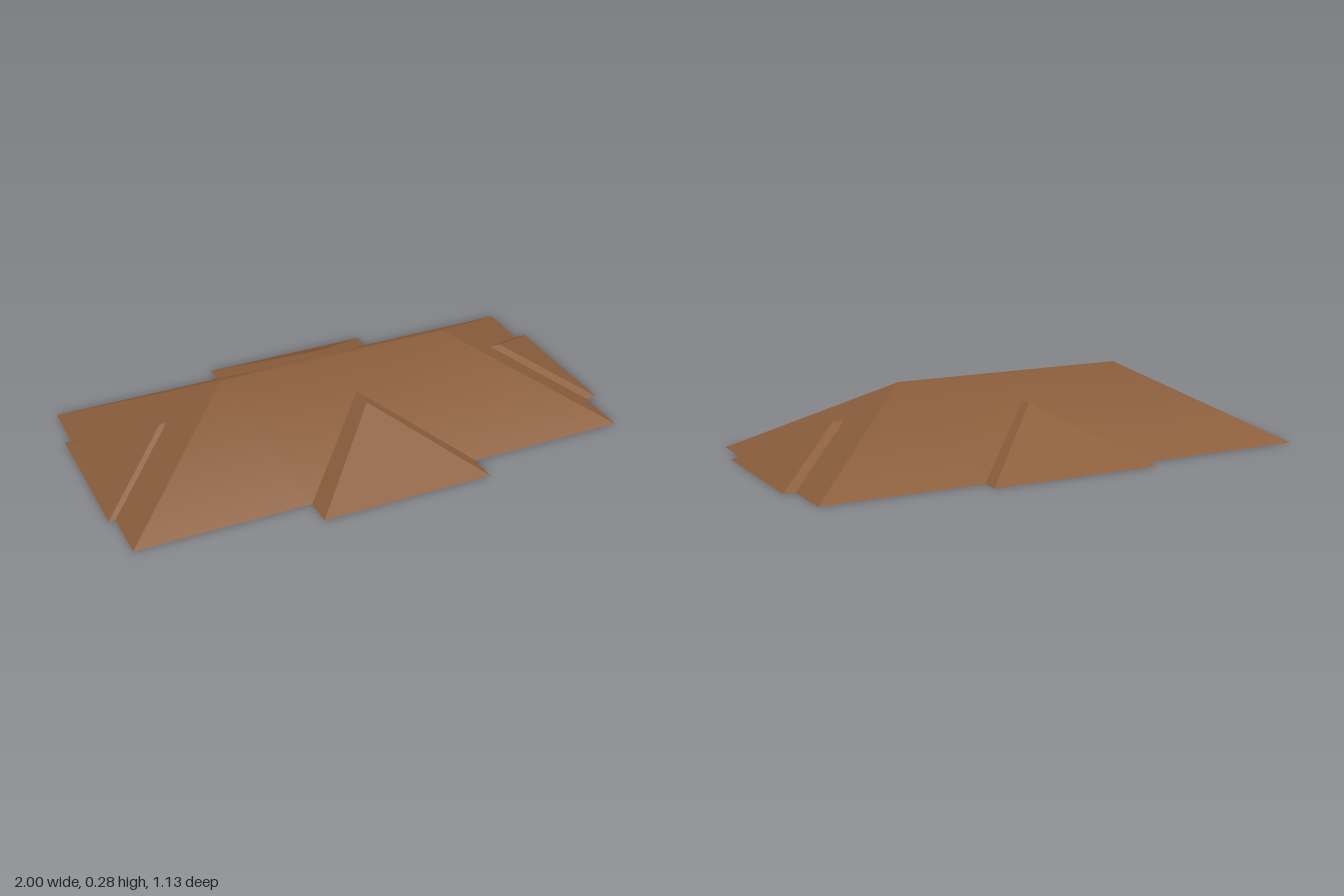
import * as THREE from 'three';

const H = 0.285;                                  // main ridge height
const X0 = -0.975, X1 = 0.955, Z0 = -0.497, Z1 = 0.456; // main eaves
const RX0 = -0.47, RX1 = 0.45, RZ = -0.018;       // main ridge

// One roof plane from an outline seen from above; smoothRidge bends normals upright towards the ridge
function roofPlane(name, points, material, smoothRidge = false) {
  const flat = points.map(p => new THREE.Vector2(p[0], -p[2]));
  const index = [];
  for (const [a, b, c] of THREE.ShapeUtils.triangulateShape(flat, [])) {
    const turn = flat[b].clone().sub(flat[a]).cross(flat[c].clone().sub(flat[a]));
    index.push(...(turn > 0 ? [a, b, c] : [a, c, b]));
  }
  const geometry = new THREE.BufferGeometry();
  geometry.setAttribute('position', new THREE.Float32BufferAttribute(points.flat(), 3));
  geometry.setIndex(index);
  geometry.computeVertexNormals();
  if (smoothRidge) {
    const normals = geometry.attributes.normal;
    const n = new THREE.Vector3(), up = new THREE.Vector3(0, 1, 0);
    points.forEach((p, i) => {
      n.fromBufferAttribute(normals, i).lerp(up, p[1] / H).normalize();
      normals.setXYZ(i, n.x, n.y, n.z);
    });
  }
  const mesh = new THREE.Mesh(geometry, material);
  mesh.name = name;
  return mesh;
}

// One side of the roof: a main plane with a notch, and the small hipped gable that fills it.
// Coordinates are a (along the eave) and o (outward axis).
function roofSide(s, material) {
  const at = (a, o, y) => (s.axis === 'z' ? [a, y, o] : [o, y, a]);
  const group = new THREE.Group();
  group.name = s.name + 'Side';
  const [g0, g1] = s.gable;
  const mid = (g0 + g1) / 2;
  const meet = s.eave + (s.ridge - s.eave) * s.height / H; // gable ridge meets the main plane
  const top = s.ridgeEnds.map(a => at(a, s.ridge, H)).reverse();

  group.add(roofPlane(s.name + 'Slope', [
    at(s.ends[0], s.eave, 0), at(g0, s.eave, 0), at(mid, meet, s.height),
    at(g1, s.eave, 0), at(s.ends[1], s.eave, 0), ...top,
  ], material, s.axis === 'z'));

  group.add(roofPlane(s.name + 'GableFace', [
    at(g0, s.gableEave, 0), at(g1, s.gableEave, 0), at(mid, s.gableTop, s.height),
  ], material));

  for (const g of s.gable) {
    group.add(roofPlane(s.name + 'GableCheek', [
      at(g, s.gableEave, 0), at(g, s.eave, 0),
      at(mid, meet, s.height), at(mid, s.gableTop, s.height),
    ], material));
  }
  return group;
}

export function createModel() {
  const brown = new THREE.MeshStandardMaterial({ color: 0x8b5e3c, side: THREE.DoubleSide });
  brown.name = 'roofBrown';

  const long = { axis: 'z', ends: [X0, X1], ridge: RZ, ridgeEnds: [RX0, RX1], gable: [-0.315, 0.345], height: 0.2 };
  const short = { axis: 'x', ends: [Z0, Z1], ridgeEnds: [RZ], gable: [-0.293, 0.257], height: 0.164 };

  const roof = new THREE.Group();
  roof.name = 'hippedRoof';
  roof.add(
    roofSide({ ...long, name: 'front', eave: Z1, gableEave: 0.563, gableTop: 0.21 }, brown),
    roofSide({ ...long, name: 'back', eave: Z0, gableEave: -0.565, gableTop: -0.212 }, brown),
    roofSide({ ...short, name: 'left', eave: X1, ridge: RX1, gableEave: 1, gableTop: 0.708 }, brown),
    roofSide({ ...short, name: 'right', eave: X0, ridge: RX0, gableEave: -1, gableTop: -0.71 }, brown),
  );
  return roof;
}
